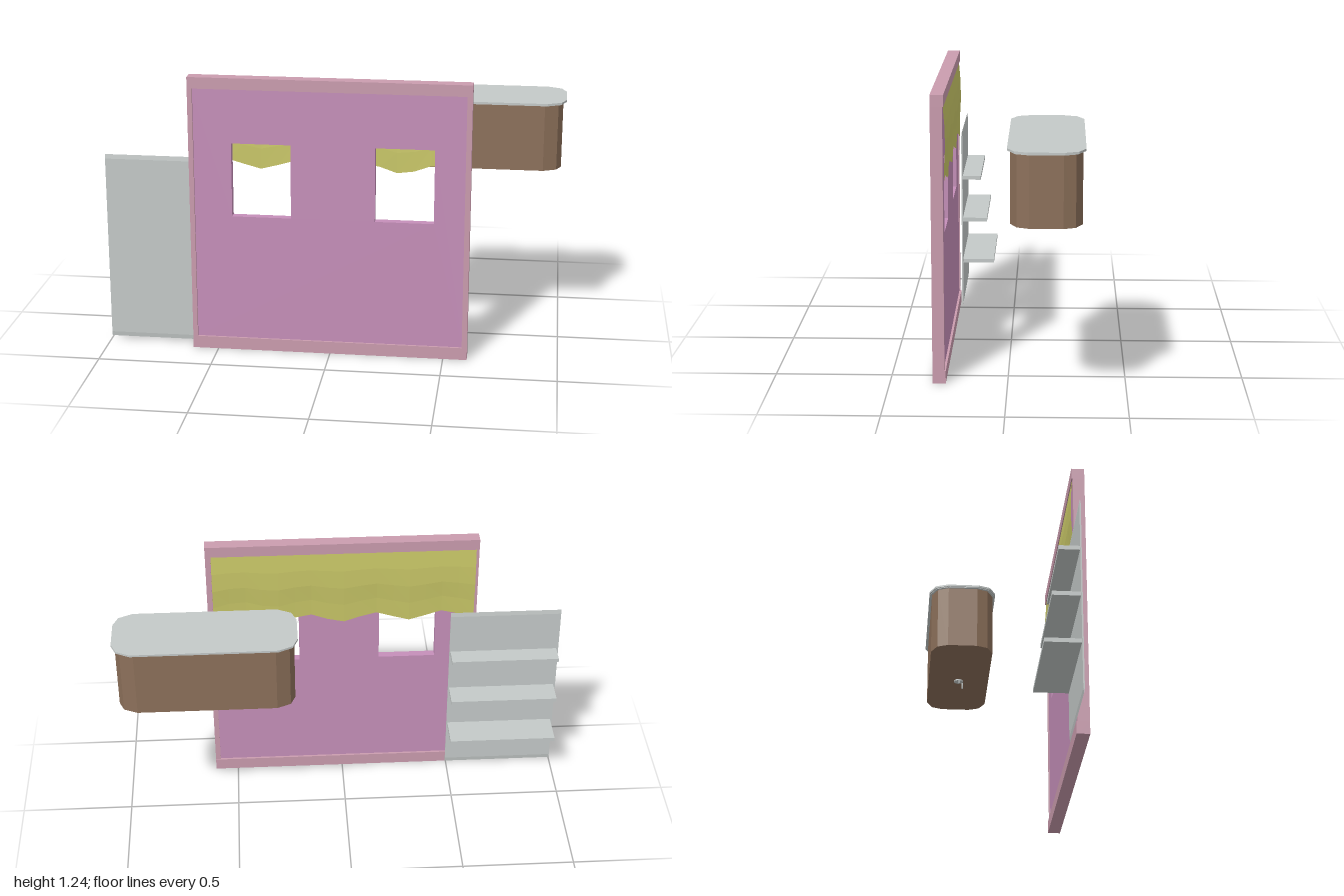
import * as THREE from 'three';

const mat = (name, color, extra = {}) => {
  const m = new THREE.MeshStandardMaterial({ color, flatShading: true, ...extra });
  m.name = name;
  return m;
};

export function createModel() {
  const root = new THREE.Group();
  root.name = 'roomSet';
  const pink = mat('framePink', 0xca9cae);
  const purple = mat('wallPurple', 0xc58fb9);
  const olive = mat('curtainOlive', 0xc8c667, { side: THREE.DoubleSide });
  const grey = mat('paleGrey', 0xc4c9c8);
  const brown = mat('basinBrown', 0x8c705a);

  const add = (name, geometry, material, parent = root) => {
    const mesh = new THREE.Mesh(geometry, material);
    mesh.name = name;
    parent.add(mesh);
    return mesh;
  };
  // Box given by its limits on each axis
  const box = (name, material, [x0, x1], [y0, y1], [z0, z1], parent) => {
    const g = new THREE.BoxGeometry(x1 - x0, y1 - y0, z1 - z0);
    g.translate((x0 + x1) / 2, (y0 + y1) / 2, (z0 + z1) / 2);
    return add(name, g, material, parent);
  };

  // Wall panel with two window openings
  const wall = new THREE.Group();
  wall.name = 'wall';
  root.add(wall);
  const rect = (T, x0, x1, y0, y1) => new T([
    new THREE.Vector2(x0, y0), new THREE.Vector2(x1, y0),
    new THREE.Vector2(x1, y1), new THREE.Vector2(x0, y1),
  ]);
  const panel = rect(THREE.Shape, -0.595, 0.585, 0.055, 1.19);
  for (const [x0, x1] of [[-0.428, -0.17], [0.195, 0.45]]) {
    panel.holes.push(rect(THREE.Path, x0, x1, 0.62, 0.95));
  }
  const panelGeo = new THREE.ExtrudeGeometry(panel, { depth: 0.036, bevelEnabled: false });
  panelGeo.translate(0, 0, 0.272);
  add('wallPanel', panelGeo, purple, wall);

  // Frame around the wall
  box('topRail', pink, [-0.613, 0.605], [1.19, 1.24], [0.262, 0.318], wall);
  box('bottomRail', pink, [-0.613, 0.605], [0, 0.055], [0.262, 0.318], wall);
  box('rightPost', pink, [-0.613, -0.592], [0.055, 1.19], [0.267, 0.318], wall);
  box('leftPost', pink, [0.582, 0.605], [0.055, 1.19], [0.267, 0.318], wall);

  // Scalloped valance with shallow folds, on the back of the wall
  const cols = 16, rows = 4;
  const valance = new THREE.PlaneGeometry(1, 1, cols, rows);
  const p = valance.attributes.position;
  for (let i = 0; i < p.count; i++) {
    const c = i % (cols + 1), r = Math.floor(i / (cols + 1));
    const x = -0.6 + (c / cols) * 1.18;
    const wave = Math.cos((x * Math.PI * 2) / 0.305);
    const hem = 0.849 - 0.021 * wave;
    const t = r / rows;
    const bulge = 0.008 * Math.sin(Math.PI * Math.min(1, t * 1.25));
    p.setXYZ(i, x, 1.19 + (hem - 1.19) * t, 0.266 - bulge - 0.002 * wave * t);
  }
  valance.computeVertexNormals();
  add('valance', valance, olive);

  // Shelf unit: back board with thin bevelled ends and three shelves
  const shelfUnit = new THREE.Group();
  shelfUnit.name = 'shelfUnit';
  root.add(shelfUnit);
  const board = new THREE.Shape([
    [0.249, 0.01], [0.252, 0.03], [0.252, 0.845], [0.249, 0.865],
    [0.246, 0.845], [0.246, 0.03],
  ].map(([z, y]) => new THREE.Vector2(-z, y)));
  const boardGeo = new THREE.ExtrudeGeometry(board, { depth: 0.505, bevelEnabled: false });
  boardGeo.rotateY(Math.PI / 2);
  boardGeo.translate(-1, 0, 0);
  add('backBoard', boardGeo, grey, shelfUnit);
  for (const [y, z] of [[0.235, 0.098], [0.44, 0.131], [0.645, 0.16]]) {
    box('shelf', grey, [-0.99, -0.5], [y - 0.009, y + 0.009], [z, 0.248], shelfUnit);
  }

  // Floating basin with cut corners
  const basin = new THREE.Group();
  basin.name = 'basin';
  basin.position.set(0.607, 0, -0.163);
  root.add(basin);
  const corner = [[1, 0.47], [0.945, 0.81], [0.79, 1]];
  const slab = (name, material, hx, hz, y0, y1) => {
    const q = (sx, sz) => corner.map(([u, v]) => new THREE.Vector2(sx * u * hx, sz * v * hz));
    const pts = [...q(1, 1), ...q(-1, 1).reverse(), ...q(-1, -1), ...q(1, -1).reverse()];
    const g = new THREE.ExtrudeGeometry(new THREE.Shape(pts), { depth: y1 - y0, bevelEnabled: false });
    g.rotateX(-Math.PI / 2);
    g.translate(0, y0, 0);
    add(name, g, material, basin);
  };
  slab('basinBody', brown, 0.378, 0.144, 0.777, 1.073);
  slab('rimUnderside', grey, 0.388, 0.151, 1.073, 1.076);
  slab('basinTop', grey, 0.393, 0.156, 1.076, 1.085);

  // Small drain fitting below the basin
  const cyl = (name, radius, x, z, y0, y1) => {
    const g = new THREE.CylinderGeometry(radius, radius, y1 - y0, 12);
    g.translate(x, (y0 + y1) / 2, z);
    add(name, g, grey, basin);
  };
  cyl('drainPlate', 0.022, 0.025, 0, 0.771, 0.778);
  cyl('drainPin', 0.003, 0.052, 0.02, 0.748, 0.778);
  cyl('drainPin', 0.003, 0.005, 0.003, 0.755, 0.778);

  return root;
}
